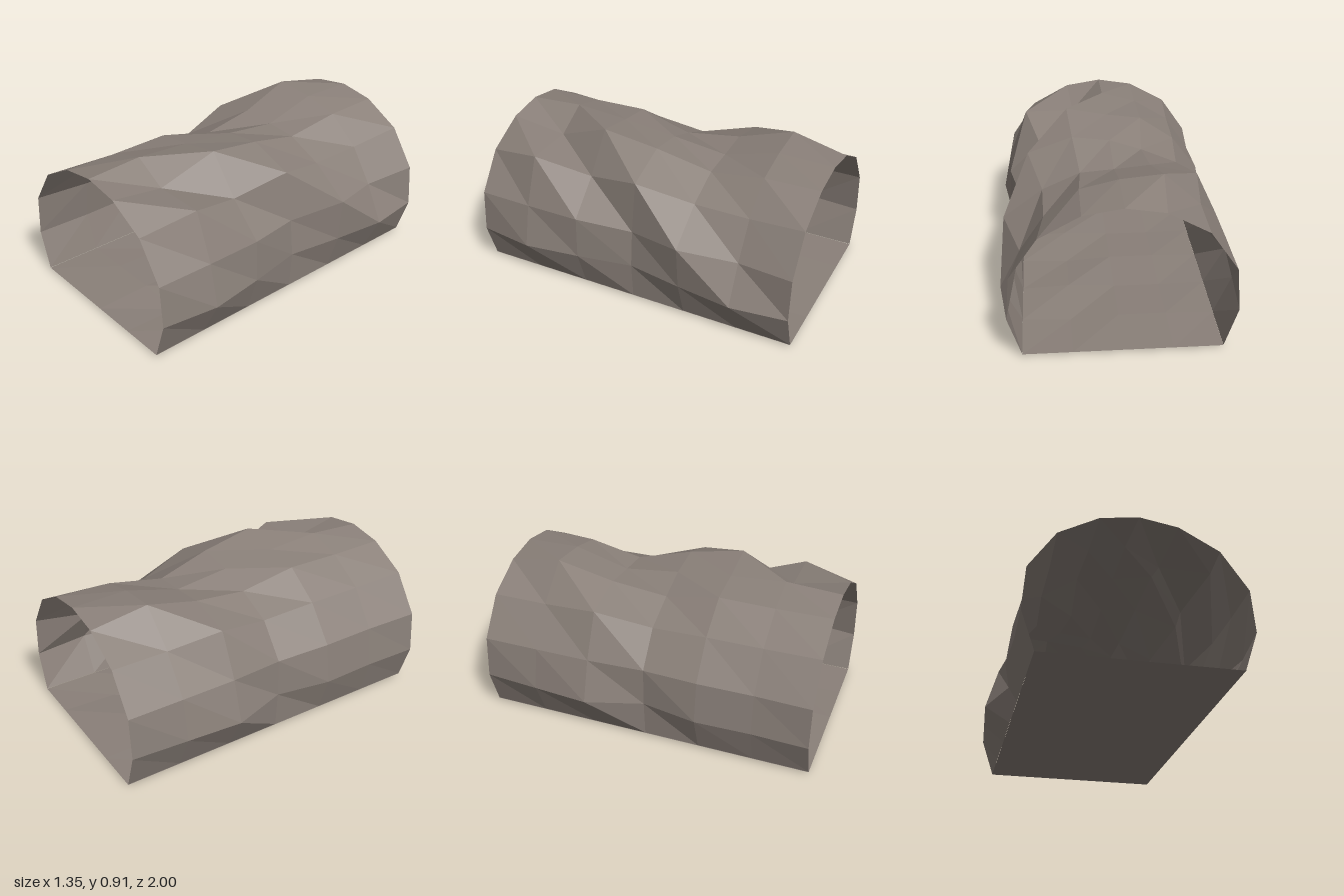
import * as THREE from 'three';

// Faceted surface through a grid of points, rows[k][i], x grows with i and z with k
function gridSurface(rows, material, name) {
  const position = [];
  for (let k = 0; k < rows.length - 1; k++) {
    for (let i = 0; i < rows[k].length - 1; i++) {
      const a = rows[k][i], b = rows[k][i + 1];
      const c = rows[k + 1][i], d = rows[k + 1][i + 1];
      for (const p of [a, c, b, b, c, d]) position.push(...p);
    }
  }
  const geometry = new THREE.BufferGeometry();
  geometry.setAttribute('position', new THREE.Float32BufferAttribute(position, 3));
  geometry.computeVertexNormals();
  const mesh = new THREE.Mesh(geometry, material);
  mesh.name = name;
  return mesh;
}

export function createModel() {
  const group = new THREE.Group();
  group.name = 'caveTunnel';
  const rock = new THREE.MeshStandardMaterial({ color: 0x8a8079, flatShading: true, side: THREE.DoubleSide });
  rock.name = 'rock';

  // Half arch from crown to foot, mirrored into the full section
  const half = [[0, 0.875], [0.22, 0.84], [0.45, 0.715], [0.605, 0.49], [0.625, 0.24], [0.55, 0.015]];
  const arch = [...half.slice(1).reverse().map(([x, y]) => [-x, y]), ...half];
  const centreY = 0.24;

  // Bulges of the rock per section, back to front; the feet stay put
  const even = [1, 1, 1, 1, 1, 1, 1, 1, 1];
  const bulges = [
    even,
    [1.04, 1, 1, 1.108, 1.01, 0.985, 0.915, 0.91, 1.065],
    [1.08, 0.995, 1.07, 0.95, 0.866, 0.89, 0.92, 1.065, 0.995],
    [0.905, 0.93, 0.91, 0.875, 0.93, 1.03, 1.1, 0.9, 0.905],
    [1, 0.98, 0.96, 1, 0.99, 1.125, 0.94, 1.02, 1],
    [0.985, 0.965, 0.97, 0.99, 1.03, 0.9, 1.13, 1.02, 1.075],
    even,
  ];
  const wallRows = bulges.map((row, k) => arch.map(([x, y], i) => {
    const s = i === 0 || i === arch.length - 1 ? 1 : row[i - 1];
    return [x * s, centreY + (y - centreY) * s, -1 + k / 3];
  }));
  group.add(gridSurface(wallRows, rock, 'archedWall'));

  // Nearly flat floor with slight unevenness, level along its edges
  const floorRows = [];
  for (let k = 0; k <= 6; k++) {
    const row = [];
    for (let i = 0; i <= 4; i++) {
      const inside = i > 0 && i < 4 && k > 0 && k < 6;
      const y = 0.0125 + (inside ? 0.0125 * Math.cos(i * 2.1 + k * Math.PI) : 0);
      row.push([-0.55 + i * 0.275, y, -1 + k / 3]);
    }
    floorRows.push(row);
  }
  group.add(gridSurface(floorRows, rock, 'floor'));
  return group;
}
